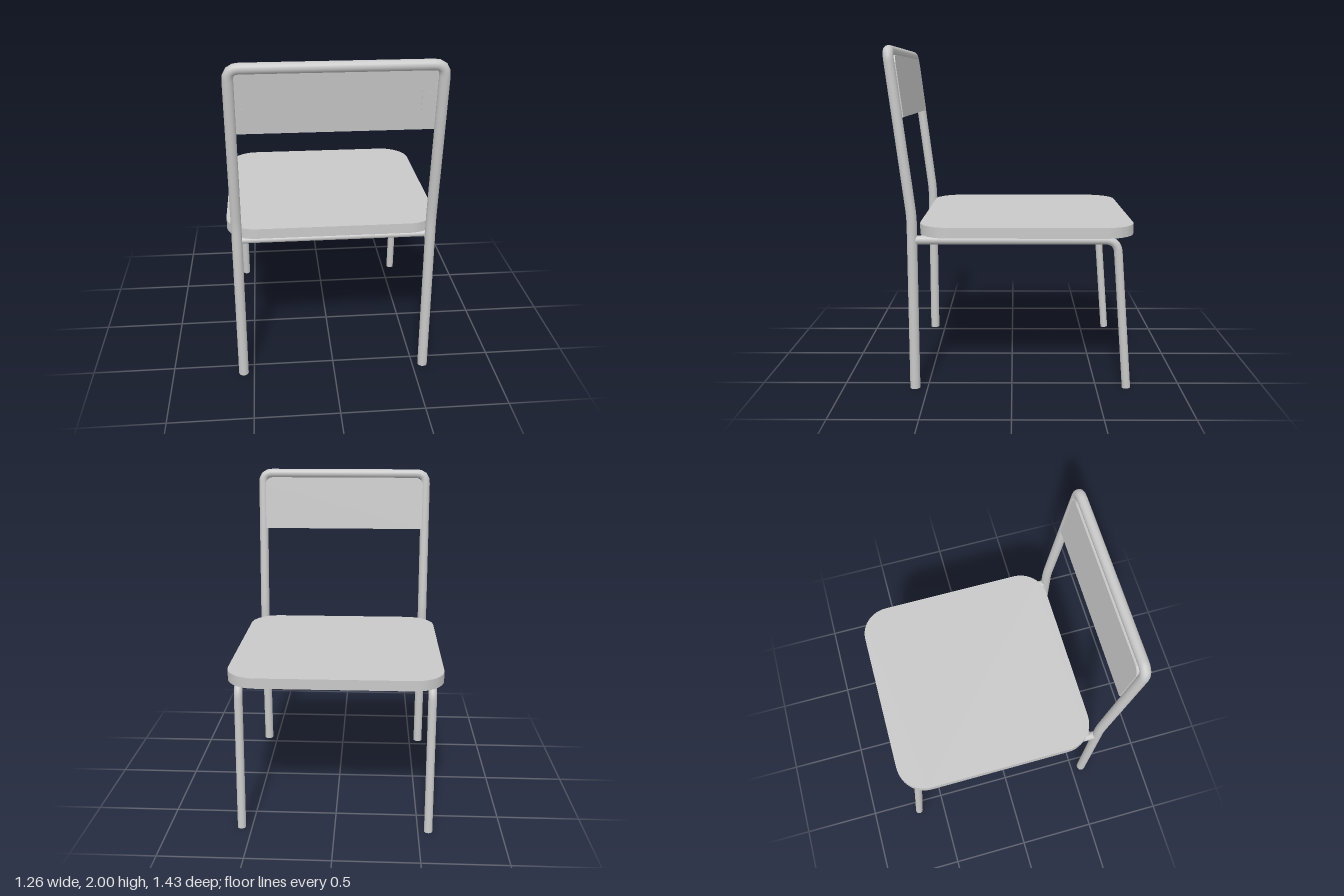
import * as THREE from 'three';

const steel = new THREE.MeshStandardMaterial({ color: 0xc8c8c8 });
steel.name = 'light grey';

// Path through points with every inner corner rounded off
function roundedPath(points, radius) {
  const pts = points.map((p) => new THREE.Vector3(...p));
  const path = new THREE.CurvePath();
  let last = pts[0];
  for (let i = 1; i < pts.length - 1; i++) {
    const c = pts[i];
    const a = c.clone().add(pts[i - 1].clone().sub(c).setLength(radius));
    const b = c.clone().add(pts[i + 1].clone().sub(c).setLength(radius));
    path.add(new THREE.LineCurve3(last, a));
    path.add(new THREE.QuadraticBezierCurve3(a, c, b));
    last = b;
  }
  path.add(new THREE.LineCurve3(last, pts[pts.length - 1]));
  return path;
}

// Bent tube with closed ends
function tube(name, points, radius, bend = 0.06) {
  const group = new THREE.Group();
  group.name = name;
  const path = roundedPath(points, bend);
  const steps = points.length > 2 ? 200 : 1;
  group.add(new THREE.Mesh(new THREE.TubeGeometry(path, steps, radius, 20), steel));
  for (const [t, sign] of [[0, -1], [1, 1]]) {
    const cap = new THREE.Mesh(new THREE.CircleGeometry(radius, 20), steel);
    const p = path.getPointAt(t);
    cap.position.copy(p);
    cap.lookAt(p.clone().addScaledVector(path.getTangentAt(t), sign));
    group.add(cap);
  }
  group.children.forEach((m, i) => { m.name = name + (i ? 'End' : 'Pipe'); });
  return group;
}

// Rectangle outline with a separate corner radius for bottom and top
function plateShape(w, h, rBottom, rTop) {
  const x = w / 2, y = h / 2, s = new THREE.Shape();
  s.moveTo(-x + rBottom, -y);
  s.lineTo(x - rBottom, -y);
  if (rBottom) s.absarc(x - rBottom, -y + rBottom, rBottom, -Math.PI / 2, 0);
  s.lineTo(x, y - rTop);
  s.absarc(x - rTop, y - rTop, rTop, 0, Math.PI / 2);
  s.lineTo(-x + rTop, y);
  s.absarc(-x + rTop, y - rTop, rTop, Math.PI / 2, Math.PI);
  s.lineTo(-x, -y + rBottom);
  if (rBottom) s.absarc(-x + rBottom, -y + rBottom, rBottom, Math.PI, Math.PI * 1.5);
  return s;
}

export function createModel() {
  const chair = new THREE.Group();
  chair.name = 'chair';

  // Seat panel
  const seatGeo = new THREE.ExtrudeGeometry(plateShape(1.26, 1.255, 0.18, 0.18),
    { depth: 0.062, bevelEnabled: false, curveSegments: 6 });
  seatGeo.rotateX(-Math.PI / 2);
  const seat = new THREE.Mesh(seatGeo, steel);
  seat.name = 'seat';
  seat.position.set(0, 0.918, -0.0875);
  chair.add(seat);

  // Back legs and backrest hoop in one bent tube
  const side = (s) => [[s * 0.565, 0, 0.575], [s * 0.565, 1.03, 0.575], [s * 0.565, 1.97, 0.69]];
  chair.add(tube('backFrame', [...side(-1), ...side(1).reverse()], 0.03));

  // Front legs, bent back under the seat
  for (const s of [-1, 1]) {
    const x = s * 0.562;
    chair.add(tube(s > 0 ? 'leftFrontLeg' : 'rightFrontLeg',
      [[x, 0.002, -0.68], [x, 0.896, -0.61], [x, 0.896, 0.562]], 0.025, 0.075));
  }

  // Cross bars under the seat
  for (const [name, z] of [['frontCrossBar', -0.555], ['backCrossBar', 0.515]]) {
    chair.add(tube(name, [[-0.56, 0.9, z], [0.56, 0.9, z]], 0.019));
  }

  // Backrest panel, leaning with the frame
  const backrest = new THREE.Group();
  backrest.name = 'backrest';
  backrest.position.set(0, 1.77, 0.652);
  backrest.rotation.x = Math.atan2(0.115, 0.94);
  const panelGeo = new THREE.ExtrudeGeometry(plateShape(1.09, 0.35, 0, 0.05),
    { depth: 0.02, bevelEnabled: false, curveSegments: 6 });
  const panel = new THREE.Mesh(panelGeo, steel);
  panel.name = 'backrestPanel';
  panel.position.z = -0.02;
  backrest.add(panel);

  // Small clips and rivets showing on the panel
  for (const s of [-1, 1]) {
    const clip = new THREE.Mesh(new THREE.BoxGeometry(0.006, 0.12, 0.006), steel);
    clip.name = 'clip';
    clip.position.set(s * 0.46, 0, 0);
    backrest.add(clip);
    for (const y of [-0.035, 0.035]) {
      const rivet = new THREE.Mesh(new THREE.CylinderGeometry(0.005, 0.005, 0.006, 10), steel);
      rivet.name = 'rivet';
      rivet.rotation.x = Math.PI / 2;
      rivet.position.set(s * 0.5, y, 0);
      backrest.add(rivet);
    }
  }
  chair.add(backrest);
  return chair;
}
